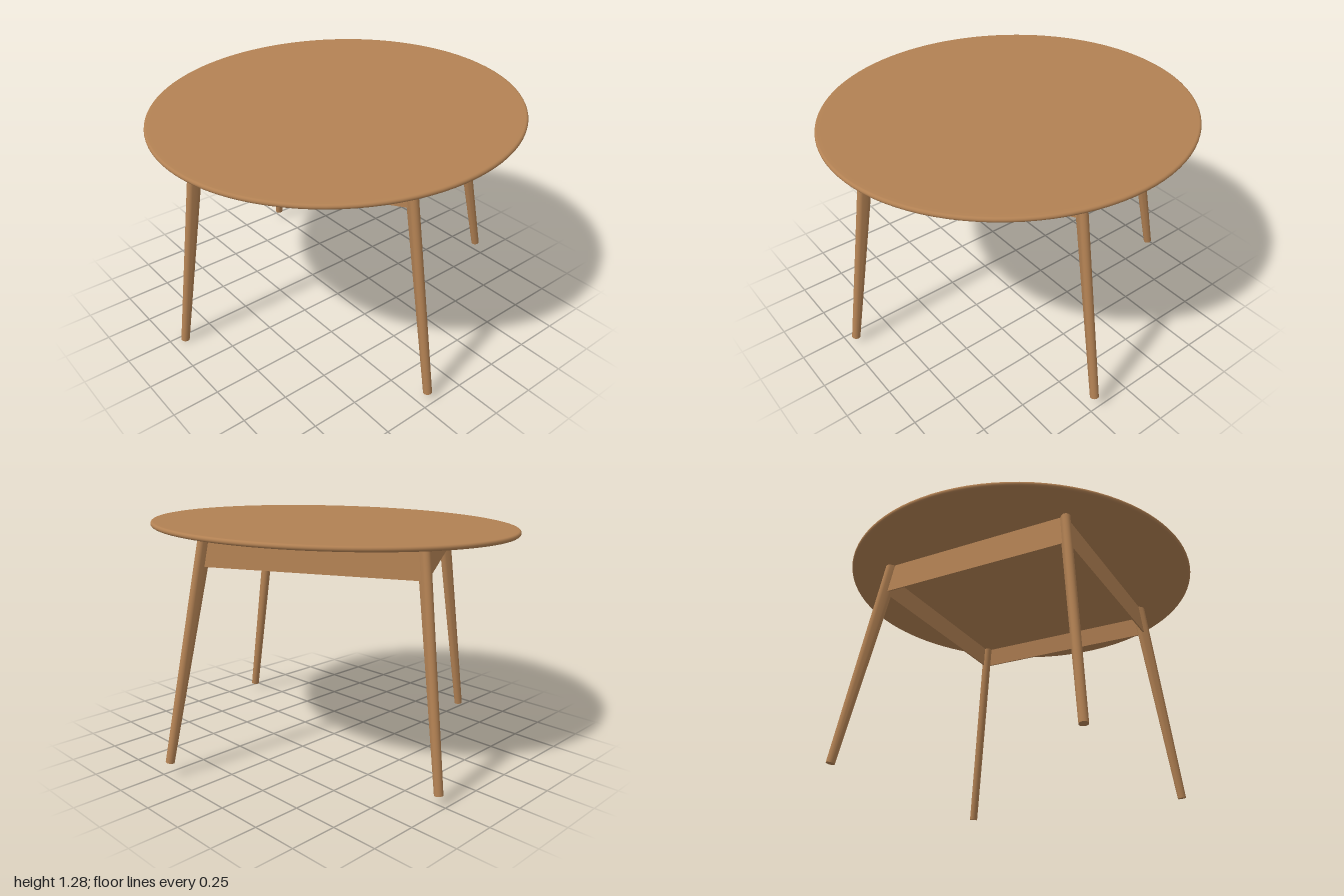
import * as THREE from 'three';

const wood = new THREE.MeshStandardMaterial({ color: 0xb28153 });
wood.name = 'warm wood';

const UNDERSIDE = 1.223, TOP = 1.249, RADIUS = 0.985;
const LEG_RADIUS = 0.023;
const APRON_BOTTOM = 1.052, PANEL_BOTTOM = 1.158;

function part(name, geometry) {
  const mesh = new THREE.Mesh(geometry, wood);
  mesh.name = name;
  return mesh;
}

// Distance from the centre to the middle of an apron at a given height
const apronReach = (y) => (0.789 - 0.172 * (y - APRON_BOTTOM)) / Math.SQRT2;

// Round top with a softly rounded rim
function tableTop() {
  const round = (TOP - UNDERSIDE) / 2;
  const profile = [new THREE.Vector2(0, UNDERSIDE), new THREE.Vector2(RADIUS - 0.03, UNDERSIDE)];
  for (let i = 0; i <= 8; i++) {
    const a = -Math.PI / 2 + (i / 8) * Math.PI;
    profile.push(new THREE.Vector2(
      RADIUS - round + Math.cos(a) * round,
      (TOP + UNDERSIDE) / 2 + Math.sin(a) * round,
    ));
  }
  profile.push(new THREE.Vector2(RADIUS - 0.03, TOP), new THREE.Vector2(0, TOP));
  return part('tableTop', new THREE.LatheGeometry(profile, 96));
}

// Splayed leg: round at the foot, growing deeper on its inner side towards the top
function leg(angle) {
  const top = { r: 0.774, y: UNDERSIDE + 0.005 }, foot = { r: 0.976, y: 0.043 };
  const length = Math.hypot(top.r - foot.r, top.y - foot.y);
  const geometry = new THREE.CylinderGeometry(LEG_RADIUS, LEG_RADIUS, length, 24, 1);
  const p = geometry.attributes.position;
  for (let i = 0; i < p.count; i++) {
    const rise = p.getY(i) / length + 0.5;
    if (p.getZ(i) < -0.001) p.setZ(i, p.getZ(i) - 0.032 * rise);
  }
  geometry.rotateX(-Math.atan2(foot.r - top.r, top.y - foot.y));
  geometry.translate(0, (top.y + foot.y) / 2, (top.r + foot.r) / 2);
  const mesh = part('leg', geometry);
  mesh.rotation.y = angle;
  return mesh;
}

// Thin board joining two neighbouring legs, leaning with their splay
function apron(angle) {
  const height = UNDERSIDE - APRON_BOTTOM;
  const geometry = new THREE.BoxGeometry(2, height, 0.008);
  geometry.translate(0, APRON_BOTTOM + height / 2, 0.006);
  const p = geometry.attributes.position;
  for (let i = 0; i < p.count; i++) {
    const d = apronReach(p.getY(i));
    p.setX(i, p.getX(i) * d);
    p.setZ(i, p.getZ(i) + d);
  }
  geometry.computeVertexNormals();
  const mesh = part('apron', geometry);
  mesh.rotation.y = angle;
  return mesh;
}

// Panel closing the frame above the lower part of the aprons
function innerPanel(angle) {
  const side = 2 * apronReach(UNDERSIDE);
  const height = UNDERSIDE - PANEL_BOTTOM;
  const mesh = part('innerPanel', new THREE.BoxGeometry(side + 0.012, height, side + 0.012));
  mesh.position.y = PANEL_BOTTOM + height / 2;
  mesh.rotation.y = angle;
  return mesh;
}

export function createModel() {
  const table = new THREE.Group();
  table.name = 'table';
  // The square frame is turned slightly about the vertical
  const turn = -0.2215;
  table.add(tableTop(), innerPanel(turn + Math.PI / 4));
  for (let i = 0; i < 4; i++) {
    const angle = turn + i * Math.PI / 2;
    table.add(leg(angle), apron(angle + Math.PI / 4));
  }
  // The whole table leans gently towards the front
  table.rotation.x = 0.037;
  table.position.z = -0.03;

  const model = new THREE.Group();
  model.name = 'roundTable';
  model.add(table);
  return model;
}
